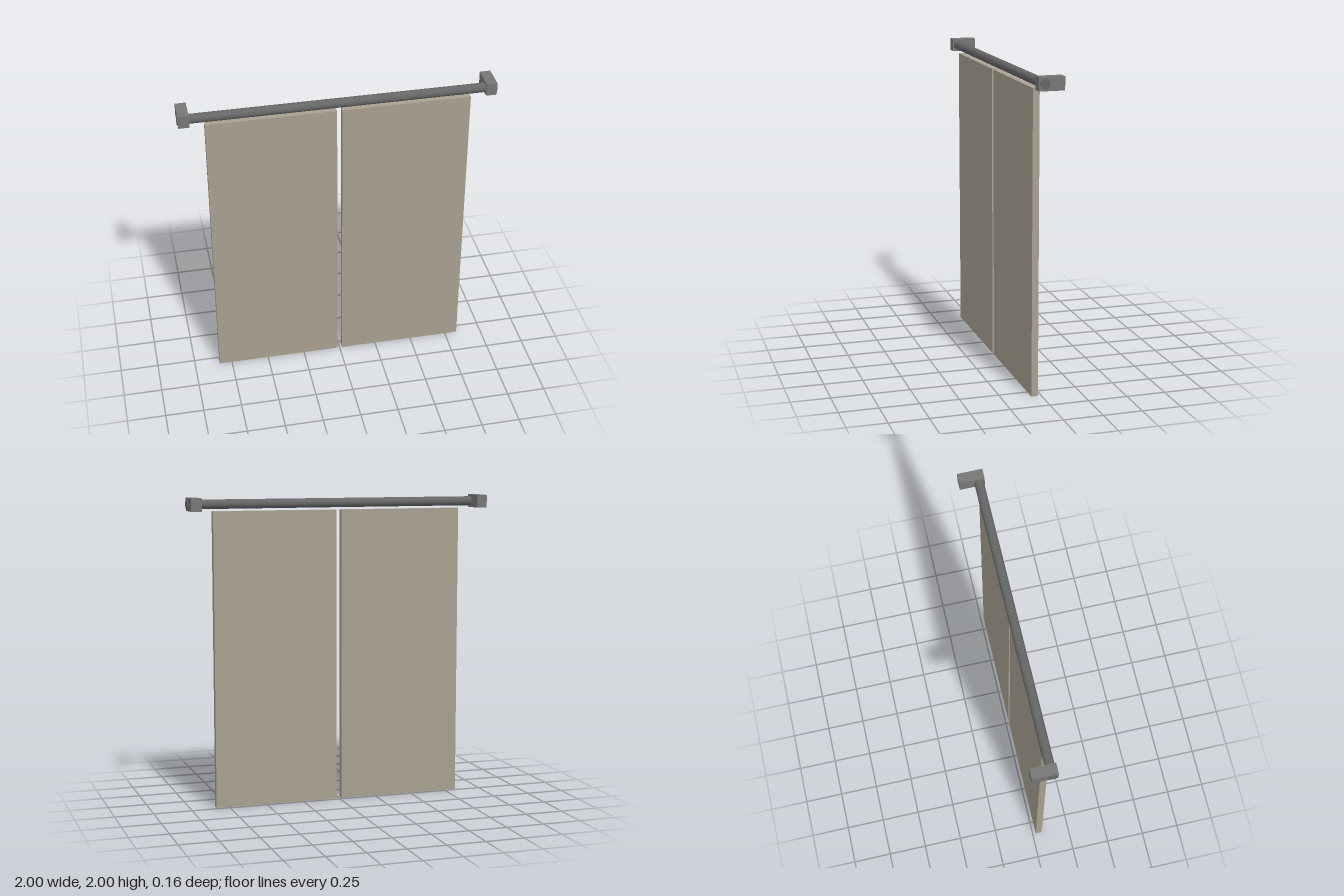
import * as THREE from 'three';

export function createModel() {
  const model = new THREE.Group();
  const paint = (color) => new THREE.MeshStandardMaterial({ color });
  const rodPaint = paint(0x666666);
  const bracketPaint = paint(0x777777);
  const clothPaint = paint(0xa8a090);

  const add = (name, geometry, material, x, y, z) => {
    const mesh = new THREE.Mesh(geometry, material);
    mesh.name = name;
    mesh.position.set(x, y, z);
    model.add(mesh);
    return mesh;
  };

  // Round rod, its ends standing just proud of the brackets
  const rodGeometry = new THREE.CylinderGeometry(0.03, 0.03, 2, 32).rotateZ(Math.PI / 2);
  add('rod', rodGeometry, rodPaint, 0, 1.958, 0.043);

  // A wall bracket and a hanging panel on each side
  const bracketGeometry = new THREE.BoxGeometry(0.068, 0.083, 0.158);
  const panelGeometry = new THREE.BoxGeometry(0.817, 1.913, 0.042);
  for (const [side, s] of [['left', 1], ['right', -1]]) {
    add(side + 'Bracket', bracketGeometry, bracketPaint, s * 0.961, 1.9585, 0);
    add(side + 'Panel', panelGeometry, clothPaint, s * 0.425, 0.9565, 0.043);
  }
  return model;
}
